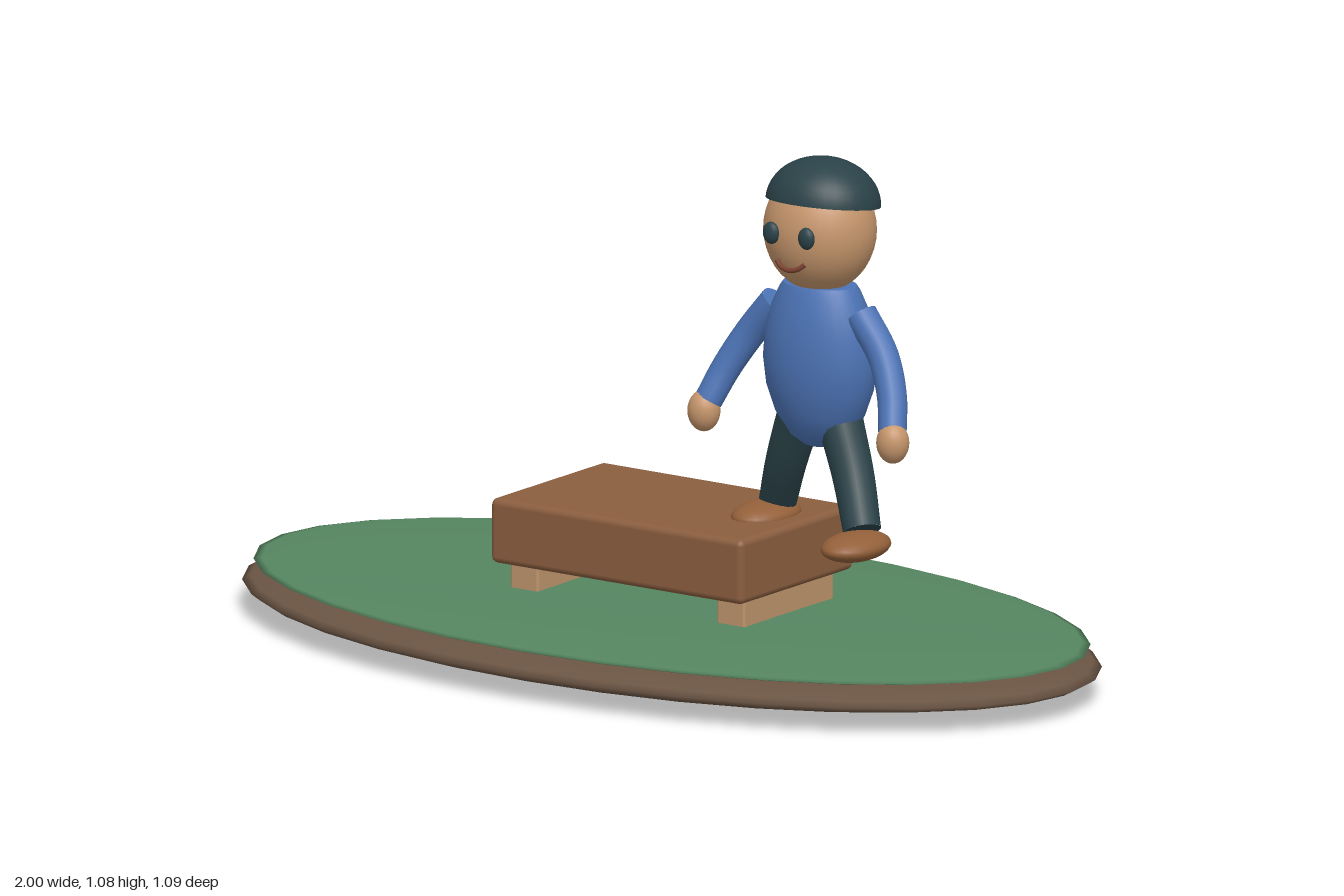
import * as THREE from 'three';
import { RoundedBoxGeometry } from 'three/addons/geometries/RoundedBoxGeometry.js';

const mat = (name, color) => Object.assign(new THREE.MeshStandardMaterial({ color }), { name });
const V = (x, y, z) => new THREE.Vector3(x, y, z);

export function createModel() {
  const model = new THREE.Group();
  const soil = mat('soil brown', 0x6b5544);
  const grass = mat('grass green', 0x558560);
  const plank = mat('bench brown', 0x8b5e3f);
  const timber = mat('pale timber', 0xbd946c);
  const skin = mat('skin', 0xc6966c);
  const shirt = mat('shirt blue', 0x4c73b5);
  const dark = mat('dark teal', 0x2a4248);
  const shoe = mat('shoe brown', 0x94603a);
  const lip = mat('mouth brown', 0x7a4030);

  const add = (parent, name, geometry, material, x = 0, y = 0, z = 0) => {
    const mesh = new THREE.Mesh(geometry, material);
    mesh.name = name;
    mesh.position.set(x, y, z);
    parent.add(mesh);
    return mesh;
  };
  const ellipsoid = (rx, ry, rz, w = 32, h = 20) => new THREE.SphereGeometry(1, w, h).scale(rx, ry, rz);

  // Tapered round limb along a curve, closed with flat ends
  const limb = (parent, name, points, r0, r1, material) => {
    const group = new THREE.Group();
    group.name = name;
    parent.add(group);
    const curve = new THREE.CatmullRomCurve3(points);
    const rings = 16, sides = 16;
    const tube = new THREE.TubeGeometry(curve, rings, r0, sides);
    const pos = tube.attributes.position, p = V(0, 0, 0);
    for (let i = 0; i <= rings; i++) {
      const centre = curve.getPointAt(i / rings);
      const k = THREE.MathUtils.lerp(1, r1 / r0, i / rings);
      for (let j = 0; j <= sides; j++) {
        const n = i * (sides + 1) + j;
        p.fromBufferAttribute(pos, n).sub(centre).multiplyScalar(k).add(centre);
        pos.setXYZ(n, p.x, p.y, p.z);
      }
    }
    tube.computeBoundingSphere();
    add(group, name + 'Tube', tube, material);
    for (const [t, r, dir] of [[0, r0, -1], [1, r1, 1]]) {
      const c = curve.getPointAt(t);
      const cap = add(group, name + 'End', new THREE.CircleGeometry(r, sides), material, c.x, c.y, c.z);
      cap.quaternion.setFromUnitVectors(V(0, 0, 1), curve.getTangentAt(t).multiplyScalar(dir));
    }
  };

  // Oval island
  add(model, 'soilBase', ellipsoid(1, 0.057, 0.545, 32, 16), soil, 0, 0.057, 0);
  add(model, 'grassTop', ellipsoid(0.975, 0.02, 0.525, 32, 16), grass, 0, 0.102, 0);

  // Bench
  const bench = new THREE.Group();
  bench.name = 'bench';
  model.add(bench);
  add(bench, 'benchTop', new RoundedBoxGeometry(0.63, 0.135, 0.39, 3, 0.014), plank, 0, 0.243, 0);
  for (const s of [-1, 1])
    add(bench, 'benchLeg', new RoundedBoxGeometry(0.07, 0.1, 0.31, 2, 0.006), timber, s * 0.258, 0.14, 0);

  // Striding figure; the group's origin is on its own vertical axis
  const figure = new THREE.Group();
  figure.name = 'figure';
  figure.position.x = 0.37;
  model.add(figure);

  const torso = [[0, 0.478], [0.035, 0.483], [0.07, 0.505], [0.1, 0.55], [0.12, 0.605], [0.127, 0.66],
    [0.122, 0.72], [0.108, 0.77], [0.09, 0.808], [0.082, 0.819]].map(([r, y]) => new THREE.Vector2(r, y));
  add(figure, 'torso', new THREE.LatheGeometry(torso, 32).scale(1, 1, 0.72), shirt);
  const collar = add(figure, 'torsoTop', new THREE.CircleGeometry(0.082, 32), shirt, 0, 0.819, 0);
  collar.rotation.x = -Math.PI / 2;
  collar.scale.y = 0.72;

  // Head and face
  add(figure, 'head', ellipsoid(0.118, 0.13, 0.11), skin, 0, 0.932, 0);
  for (const s of [-1, 1])
    add(figure, 'eye', ellipsoid(0.019, 0.023, 0.012, 16, 12), dark, s * 0.044, 0.938, 0.108);
  const smile = new THREE.CatmullRomCurve3([
    V(-0.035, 0.881, 0.1), V(-0.02, 0.87, 0.106), V(0, 0.866, 0.109), V(0.02, 0.87, 0.106), V(0.035, 0.881, 0.1)]);
  add(figure, 'mouth', new THREE.TubeGeometry(smile, 20, 0.005, 8), lip);

  // Domed cap, tipped back
  const cap = new THREE.Group();
  cap.name = 'cap';
  cap.position.set(0, 0.985, -0.011);
  cap.rotation.x = -0.14;
  figure.add(cap);
  add(cap, 'capDome',
    new THREE.SphereGeometry(1, 32, 12, 0, Math.PI * 2, 0, Math.PI / 2).scale(0.121, 0.094, 0.11), dark);
  add(cap, 'capUnderside', new THREE.CircleGeometry(1, 32).rotateX(Math.PI / 2).scale(0.121, 1, 0.11), dark);

  // Arms and legs: left is +x; the left leg steps forward off the bench
  for (const [side, s] of [['left', 1], ['right', -1]]) {
    limb(figure, side + 'Arm',
      [V(s * 0.105, 0.768, 0.004), V(s * 0.165, 0.695, 0.012), V(s * 0.207, 0.62, 0.038), V(s * 0.23, 0.555, 0.068)],
      0.034, 0.029, shirt);
    add(figure, side + 'Hand', ellipsoid(0.034, 0.043, 0.033, 20, 14), skin, s * 0.236, 0.534, 0.075);
    const step = s > 0 ? 0.058 : -0.058;
    limb(figure, side + 'Leg',
      [V(s * 0.05, 0.54, 0), V(s * 0.098, 0.435, step * 0.36), V(s * 0.147, 0.335, step)],
      0.047, 0.039, dark);
    add(figure, side + 'Shoe', ellipsoid(0.06, 0.029, 0.09, 24, 16), shoe, s * 0.155, 0.31, s > 0 ? 0.09 : -0.028);
  }
  return model;
}
